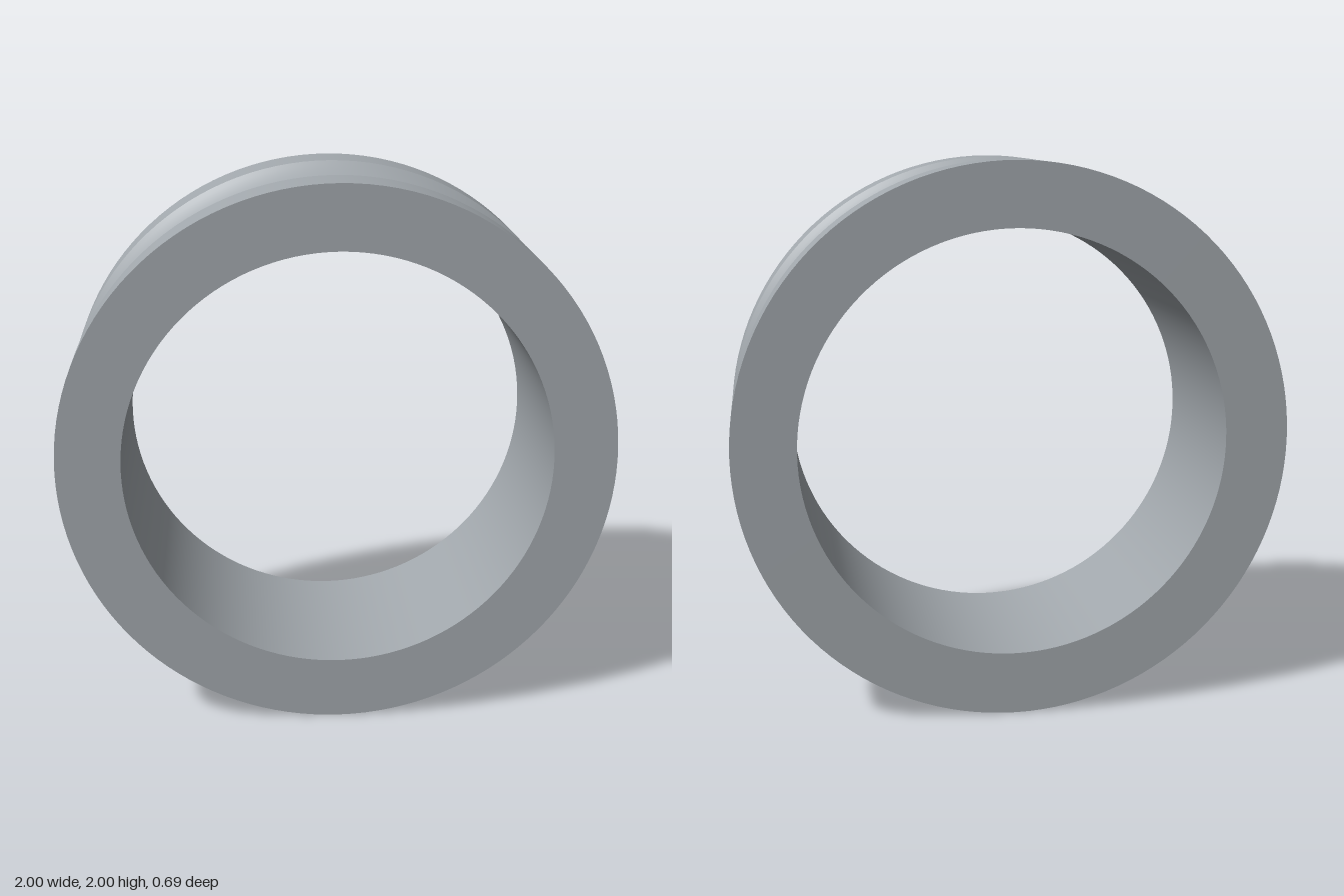
import * as THREE from 'three';

const OUTER = 1, BORE = 0.77, HALF = 0.345;   // radii and half width of the ring
const GROOVE_HALF = 0.172, GROOVE_DEPTH = 0.078;
const SEGMENTS = 128;

export function createModel() {
  const group = new THREE.Group();
  group.name = 'groovedRing';
  const steel = new THREE.MeshStandardMaterial({ color: 0xa2a8ad });
  steel.name = 'steelGrey';

  // Each surface is its own lathe, so the edges between them stay sharp.
  // Profiles are [radius, axial] and run counterclockwise round the section.
  const addSurface = (name, profile) => {
    const points = profile.map(([r, a]) => new THREE.Vector2(r, a));
    const geometry = new THREE.LatheGeometry(points, SEGMENTS);
    geometry.rotateX(Math.PI / 2);
    geometry.translate(0, OUTER, 0);
    const mesh = new THREE.Mesh(geometry, steel);
    mesh.name = name;
    group.add(mesh);
  };

  // Concave circular groove around the middle
  const radius = (GROOVE_HALF ** 2 + GROOVE_DEPTH ** 2) / (2 * GROOVE_DEPTH);
  const centre = OUTER - GROOVE_DEPTH + radius;
  const sweep = Math.asin(GROOVE_HALF / radius);
  const groove = [];
  for (let i = 0; i <= 20; i++) {
    const t = sweep * (i / 10 - 1);
    groove.push([centre - radius * Math.cos(t), radius * Math.sin(t)]);
  }
  addSurface('groove', groove);

  // Cylindrical rims on both sides of the groove
  addSurface('backRim', [[OUTER, -HALF], [OUTER, -GROOVE_HALF]]);
  addSurface('frontRim', [[OUTER, GROOVE_HALF], [OUTER, HALF]]);

  // Flat annular sides and the bore
  addSurface('frontFace', [[OUTER, HALF], [BORE, HALF]]);
  addSurface('bore', [[BORE, HALF], [BORE, -HALF]]);
  addSurface('backFace', [[BORE, -HALF], [OUTER, -HALF]]);

  return group;
}
